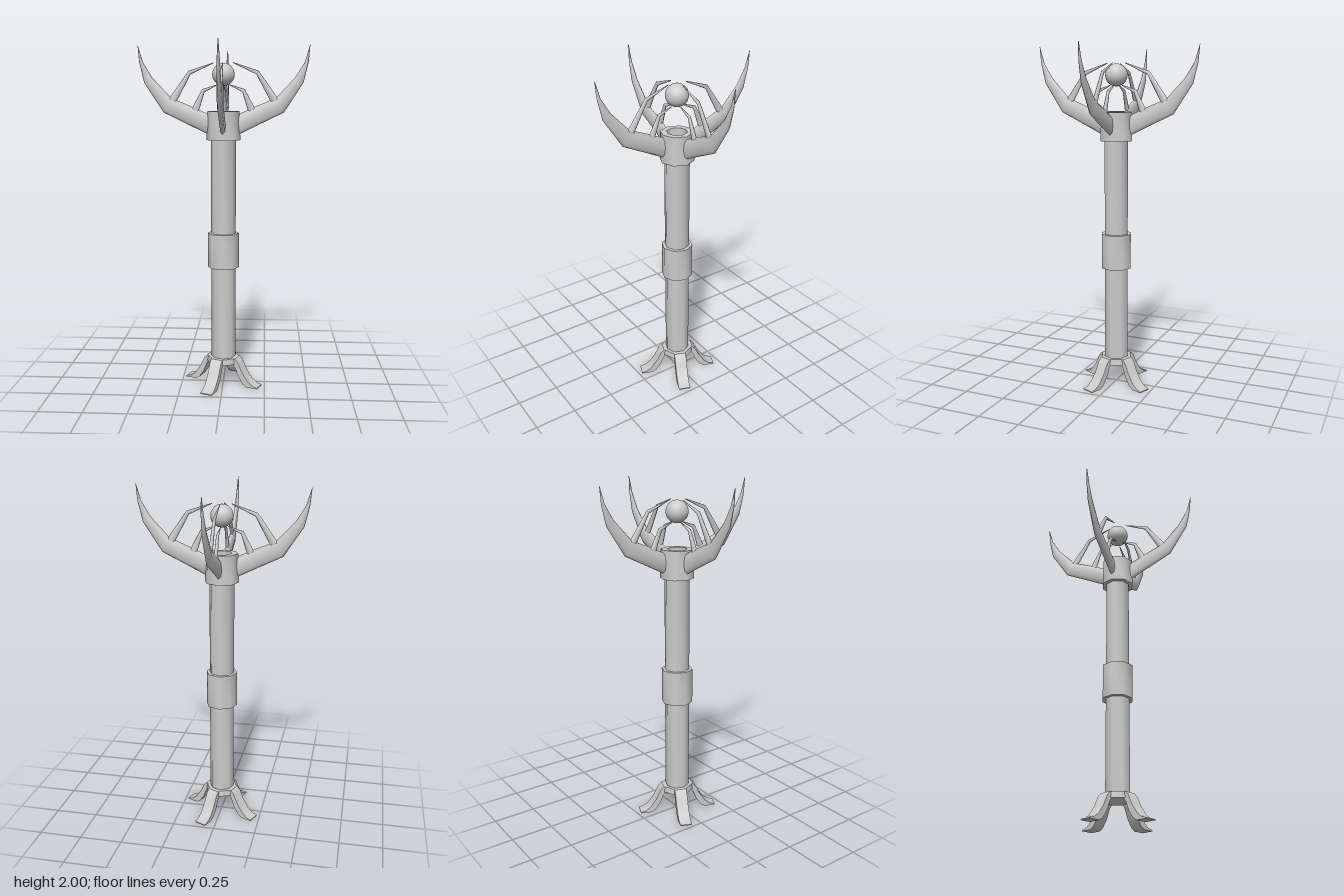
import * as THREE from 'three';
import { toCreasedNormals } from 'three/addons/utils/BufferGeometryUtils.js';

const material = new THREE.MeshStandardMaterial({ color: 0xcccccc });

function mesh(name, geometry) {
  const m = new THREE.Mesh(geometry, material);
  m.name = name;
  return m;
}

// Eight-sided ring from a closed profile of [radius, y], sharp at its rims
function ring(name, profile) {
  const points = profile.map(([r, y]) => new THREE.Vector2(r, y));
  return mesh(name, toCreasedNormals(new THREE.LatheGeometry(points, 8), 0.9));
}

// Loft of elliptical sections; each row is [outerX, outerY, innerX, innerY, halfThickness]
function loft(rows, sides = 8) {
  const positions = [];
  const index = [];
  rows.forEach(([ox, oy, ix, iy, t], i) => {
    for (let j = 0; j < sides; j++) {
      const a = (j / sides) * Math.PI * 2;
      const c = Math.cos(a) / 2;
      positions.push((ox + ix) / 2 + (ox - ix) * c, (oy + iy) / 2 + (oy - iy) * c, t * Math.sin(a));
      if (i === rows.length - 1) continue;
      const k = (j + 1) % sides;
      const p = i * sides + j, q = i * sides + k;
      index.push(p, p + sides, q + sides, p, q + sides, q);
    }
  });
  const g = new THREE.BufferGeometry();
  g.setAttribute('position', new THREE.Float32BufferAttribute(positions, 3));
  g.setIndex(index);
  g.computeVertexNormals();
  return g;
}

export function createModel() {
  const model = new THREE.Group();

  // Shaft and its collars
  model.add(ring('shaft', [[0, 0.14], [0.0725, 0.14], [0.0725, 1.5], [0, 1.5]]));
  model.add(ring('baseCollar', [[0, 0.13], [0.097, 0.13], [0.092, 0.165], [0, 0.165]]));
  model.add(ring('middleCollar', [[0.07, 0.715], [0.092, 0.715], [0.092, 0.92], [0.07, 0.92]]));
  model.add(ring('topCollar', [
    [0.07, 1.465], [0.098, 1.465], [0.093, 1.63], [0.058, 1.63], [0.058, 1.5], [0, 1.5],
  ]));

  // Floating orb
  const orb = mesh('orb', new THREE.SphereGeometry(0.064, 32, 20));
  orb.position.y = 1.837;
  model.add(orb);

  // Curved blade and the two prongs that grow from its inner edge
  const blade = loft([
    [0.08, 1.493, 0.08, 1.61, 0.018],
    [0.2, 1.552, 0.19, 1.66, 0.018],
    [0.345, 1.622, 0.3, 1.705, 0.017],
    [0.455, 1.79, 0.408, 1.82, 0.012],
    [0.482, 1.905, 0.46, 1.905, 0.008],
    [0.49, 2.0, 0.488, 2.0, 0.002],
  ]);
  const longProng = loft([
    [0.325, 1.685, 0.275, 1.675, 0.011],
    [0.2, 1.858, 0.187, 1.838, 0.008],
    [0.055, 1.905, 0.055, 1.9, 0.002],
  ]);
  const shortProng = loft([
    [0.195, 1.62, 0.145, 1.62, 0.011],
    [0.122, 1.755, 0.108, 1.738, 0.008],
    [0.035, 1.782, 0.035, 1.777, 0.002],
  ]);

  // Splayed foot: side profile extruded across its width
  const foot = new THREE.Shape([
    [0.08, 0.165], [0.08, 0.13], [0.095, 0.11], [0.115, 0.06], [0.145, 0.016], [0.17, 0],
    [0.237, 0], [0.237, 0.006], [0.205, 0.014], [0.175, 0.037], [0.138, 0.09], [0.112, 0.145], [0.092, 0.165],
  ].map(([x, y]) => new THREE.Vector2(x, y)));
  const footGeometry = toCreasedNormals(
    new THREE.ExtrudeGeometry(foot, { depth: 0.072, bevelEnabled: false }).translate(0, 0, -0.036), 0.7);

  for (let i = 0; i < 4; i++) {
    const claw = new THREE.Group();
    claw.name = 'claw' + (i + 1);
    claw.add(mesh('blade', blade), mesh('longProng', longProng), mesh('shortProng', shortProng));
    claw.rotation.y = (i * Math.PI) / 2;
    model.add(claw);

    const leg = mesh('foot' + (i + 1), footGeometry);
    leg.rotation.y = (i * Math.PI) / 2 - Math.PI / 8;
    model.add(leg);
  }
  return model;
}
